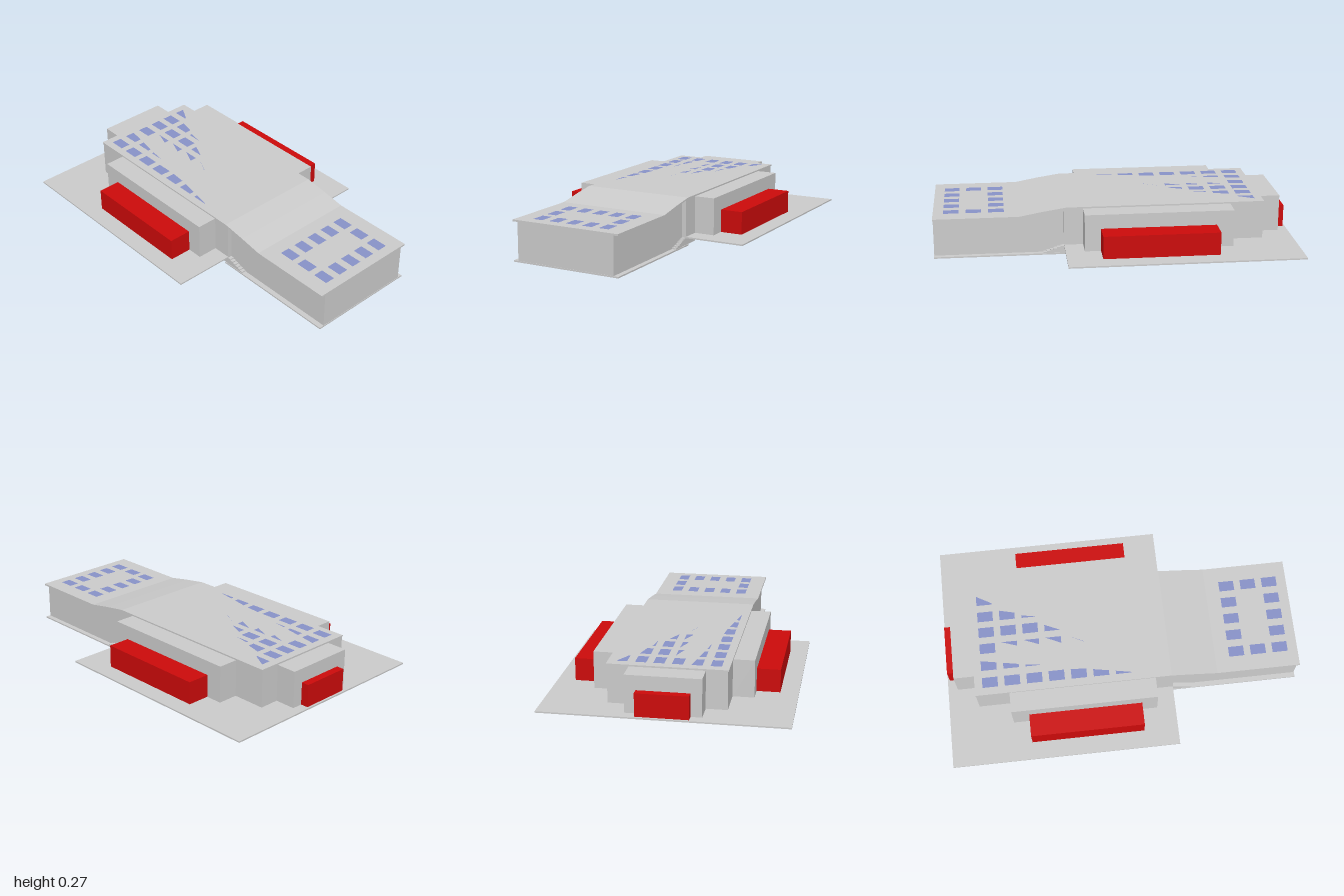
import * as THREE from 'three';

const grey = new THREE.MeshStandardMaterial({ color: 0xcccccc, flatShading: true });
const red = new THREE.MeshStandardMaterial({ color: 0xcc0a0a });
const blue = new THREE.MeshStandardMaterial({ color: 0x8892c8, side: THREE.DoubleSide });

export function createModel() {
  const model = new THREE.Group();

  const add = (name, geometry, material = grey) => {
    const mesh = new THREE.Mesh(geometry, material);
    mesh.name = name;
    model.add(mesh);
    return mesh;
  };

  // Box given by its limits on each axis
  const box = (name, [x0, x1], [y0, y1], [z0, z1], material) =>
    add(name, new THREE.BoxGeometry(x1 - x0, y1 - y0, z1 - z0), material)
      .position.set((x0 + x1) / 2, (y0 + y1) / 2, (z0 + z1) / 2);

  // Side profile (x, y) extruded between two z limits
  const prism = (name, points, z0, z1) => {
    const shape = new THREE.Shape(points.map(([x, y]) => new THREE.Vector2(x, y)));
    const geometry = new THREE.ExtrudeGeometry(shape, { depth: z1 - z0, bevelEnabled: false });
    add(name, geometry.translate(0, 0, z0));
  };

  // Ground slab and the small pit below it
  box('groundSlab', [-1, 0.285], [0.045, 0.053], [-0.655, 0.655]);
  box('pit', [-0.35, -0.2], [0.033, 0.046], [-0.07, 0.095]);

  // Main hall, lower hall with inset walls, and its floor
  box('mainHall', [-0.828, 0.18], [0.05, 0.264], [-0.314, 0.314]);
  box('hallThreshold', [0.18, 0.285], [0.008, 0.262], [-0.314, 0.314]);
  prism('lowerHall', [[0.27, 0.004], [0.998, 0.004], [0.998, 0.218], [0.53, 0.218], [0.28, 0.258], [0.27, 0.258]], -0.29, 0.29);
  box('lowerFloor', [0.265, 1], [0, 0.008], [-0.318, 0.318]);

  // Thin roof that slopes down to the lower hall
  prism('roof', [
    [-0.83, 0.262], [0.27, 0.262], [0.53, 0.216], [1, 0.216],
    [1, 0.226], [0.53, 0.226], [0.4, 0.25], [0.27, 0.27], [-0.83, 0.27],
  ], -0.318, 0.318);

  // Annexes with red blocks on both sides and at the end
  for (const s of [-1, 1]) {
    const span = (a, b) => (s > 0 ? [a, b] : [-b, -a]);
    box('sideAnnex', [-0.64, 0.18], [0.05, 0.26], span(0.31, 0.43));
    box('sideBlock', [-0.545, 0.092], [0.05, 0.18], span(0.43, 0.557), red);

    // Outside steps down to the lower floor
    const steps = 6;
    for (let i = 0; i < steps; i++) {
      box('step', [0.28, 0.305 + i * 0.019], [0.008, 0.047 - i * 0.0065], span(0.288, 0.315));
    }
  }
  box('endAnnex', [-0.945, -0.825], [0.05, 0.26], [-0.2, 0.2]);
  box('endBlock', [-0.988, -0.945], [0.05, 0.18], [-0.14, 0.14], red);

  // Flat skylight pane; the z of each edge is given at its two ends
  const pane = (x0, x1, y, [a0, a1], [b0, b1]) => {
    const shape = new THREE.Shape([[x0, -b0], [x1, -b1], [x1, -a1], [x0, -a0]].map((p) => new THREE.Vector2(...p)));
    add('skylight', new THREE.ShapeGeometry(shape).rotateX(-Math.PI / 2).translate(0, y, 0), blue);
  };

  // Lower roof skylights, open in the middle
  for (let row = 0; row < 5; row++) {
    const z = -0.2 + row * 0.1;
    for (let col = 0; col < 3; col++) {
      if (col === 1 && row > 0 && row < 4) continue;
      const x = 0.61 + col * 0.124;
      pane(x, x + 0.086, 0.2275, [z - 0.029, z - 0.029], [z + 0.029, z + 0.029]);
    }
  }

  // Upper roof skylights, cut off along two diagonals
  const upperCut = (x) => -0.273 + 0.57 * (x + 0.786);
  const lowerCut = (x) => 0.118 + 0.185 * (x + 0.786);
  [-0.245, -0.145, -0.05, 0.047, 0.147, 0.247].forEach((z, row) => {
    const top = z - 0.029, bottom = z + 0.029;
    const cut = row < 4 ? upperCut : lowerCut;
    const edge = (x) => Math.min(bottom, Math.max(top, cut(x)));
    for (let col = 0; col < 8; col++) {
      const x0 = -0.786 + col * 0.1245, x1 = x0 + 0.087;
      if (edge(x0) >= bottom - 0.002) break;
      const wedge = row === 3 && col > 0;
      const lower = wedge ? [edge(x0), top + 0.025 + col * 0.005] : [bottom, bottom];
      pane(x0, x1, 0.2715, [edge(x0), Math.min(edge(x1), lower[1])], lower);
    }
  });

  return model;
}
